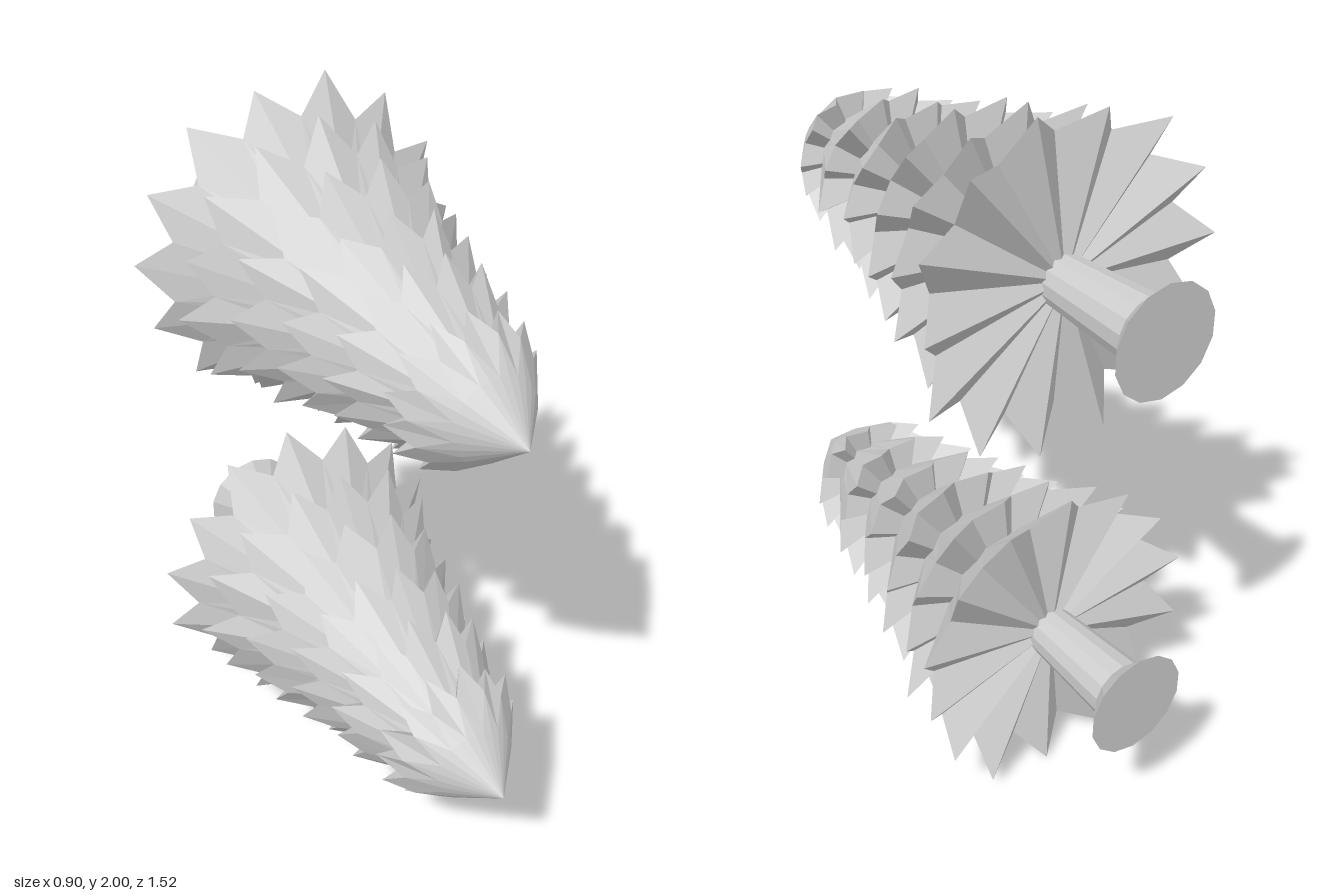
import * as THREE from 'three';

const N = 14; // spikes per tier

// rim spike radii of the widest tier, counter-clockwise from the start angle
const RIM_A = [.47, .44, .457, .445, .447, .447, .457, .457, .465, .468, .476, .437, .48, .47];
const RIM_B = [.458, .455, .435, .447, .457, .426, .443, .45, .47, .44, .435, .468, .455, .45];

// tiers from the tip to the trunk: rim z, rim radius, inner ring z and radius, apex z
const TIERS = [
  { z: 0.46, r: 0.215, ringZ: 0.62, ringR: 0.115, apex: 0.76 },
  { z: 0.28, r: 0.26, ringZ: 0.53, ringR: 0.11, apex: 0.58 },
  { z: 0.10, r: 0.30, ringZ: 0.35, ringR: 0.12, apex: 0.40 },
  { z: -0.08, r: 0.35, ringZ: 0.17, ringR: 0.14, apex: 0.22 },
  { z: -0.26, r: 0.40, ringZ: -0.01, ringR: 0.17, apex: 0.04 },
  { z: -0.44, r: 0.455, ringZ: -0.19, ringR: 0.20, apex: -0.14 },
];

function seeded(seed) {
  let s = seed;
  return () => {
    s = (s * 16807) % 2147483647;
    return s / 2147483647 - 0.5;
  };
}

// pleated cone with a zigzag rim and a folded underside
function tierGeometry(t, start, rand, rim) {
  const M = N * 2;
  const ring = [], edge = [];
  for (let i = 0; i < M; i++) {
    const spike = i % 2 === 0;
    let a = start + (i / M) * Math.PI * 2;
    const c = Math.cos(a), s = Math.sin(a);
    ring.push([c * t.ringR, s * t.ringR, t.ringZ]);
    let r = spike ? t.r * (1 + rand() * 0.08) : t.r * (0.82 + rand() * 0.04);
    if (spike && rim) r = rim[i / 2];
    if (!rim) a += rand() * 0.06;
    const z = spike ? t.z + rand() * 0.015 : t.z + 0.072 + rand() * 0.015;
    edge.push([Math.cos(a) * r, Math.sin(a) * r, z]);
  }
  const apex = [0, 0, t.apex], under = [0, 0, t.z + 0.035];
  const p = [];
  const tri = (a, b, c) => p.push(...a, ...b, ...c);
  for (let i = 0; i < M; i++) {
    const j = (i + 1) % M;
    tri(apex, ring[i], ring[j]);
    // split each fold along its ridge or valley side alike
    if (i % 2 === 0) {
      tri(ring[i], edge[i], edge[j]);
      tri(ring[i], edge[j], ring[j]);
    } else {
      tri(ring[i], edge[i], ring[j]);
      tri(edge[i], edge[j], ring[j]);
    }
    tri(under, edge[j], edge[i]);
  }
  const g = new THREE.BufferGeometry();
  g.setAttribute('position', new THREE.Float32BufferAttribute(p, 3));
  g.computeVertexNormals();
  return g;
}

// a tree lying on its side with the tip towards +z
function tree(mat, startDeg, rim, seed) {
  const g = new THREE.Group();
  const rand = seeded(seed);
  const start = THREE.MathUtils.degToRad(startDeg);
  TIERS.forEach((t, k) => {
    const last = k === TIERS.length - 1;
    const turn = ((TIERS.length - 1 - k) % 2) * (Math.PI / N);
    const m = new THREE.Mesh(tierGeometry(t, start + turn, rand, last ? rim : null), mat);
    m.name = 'needleTier' + (k + 1);
    g.add(m);
  });
  // trunk widening to a flared foot
  const profile = [[0, -0.76], [0.15, -0.76], [0.088, -0.70], [0.07, -0.40], [0, -0.40]]
    .map(([r, z]) => new THREE.Vector2(r, z));
  const geo = new THREE.LatheGeometry(profile, N).toNonIndexed();
  geo.rotateX(Math.PI / 2);
  geo.computeVertexNormals();
  const trunk = new THREE.Mesh(geo, mat);
  trunk.name = 'trunk';
  g.add(trunk);
  return g;
}

export function createModel() {
  const mat = new THREE.MeshStandardMaterial({ color: 0xcccccc });
  mat.name = 'paleGrey';
  mat.flatShading = true;
  const model = new THREE.Group();
  model.name = 'treePair';

  const upper = tree(mat, 75, RIM_A, 71);
  upper.name = 'upperTree';
  upper.position.y = 1.546;
  const lower = tree(mat, 93, RIM_B, 1931);
  lower.name = 'lowerTree';
  lower.position.y = 0.449;
  model.add(upper, lower);
  return model;
}
